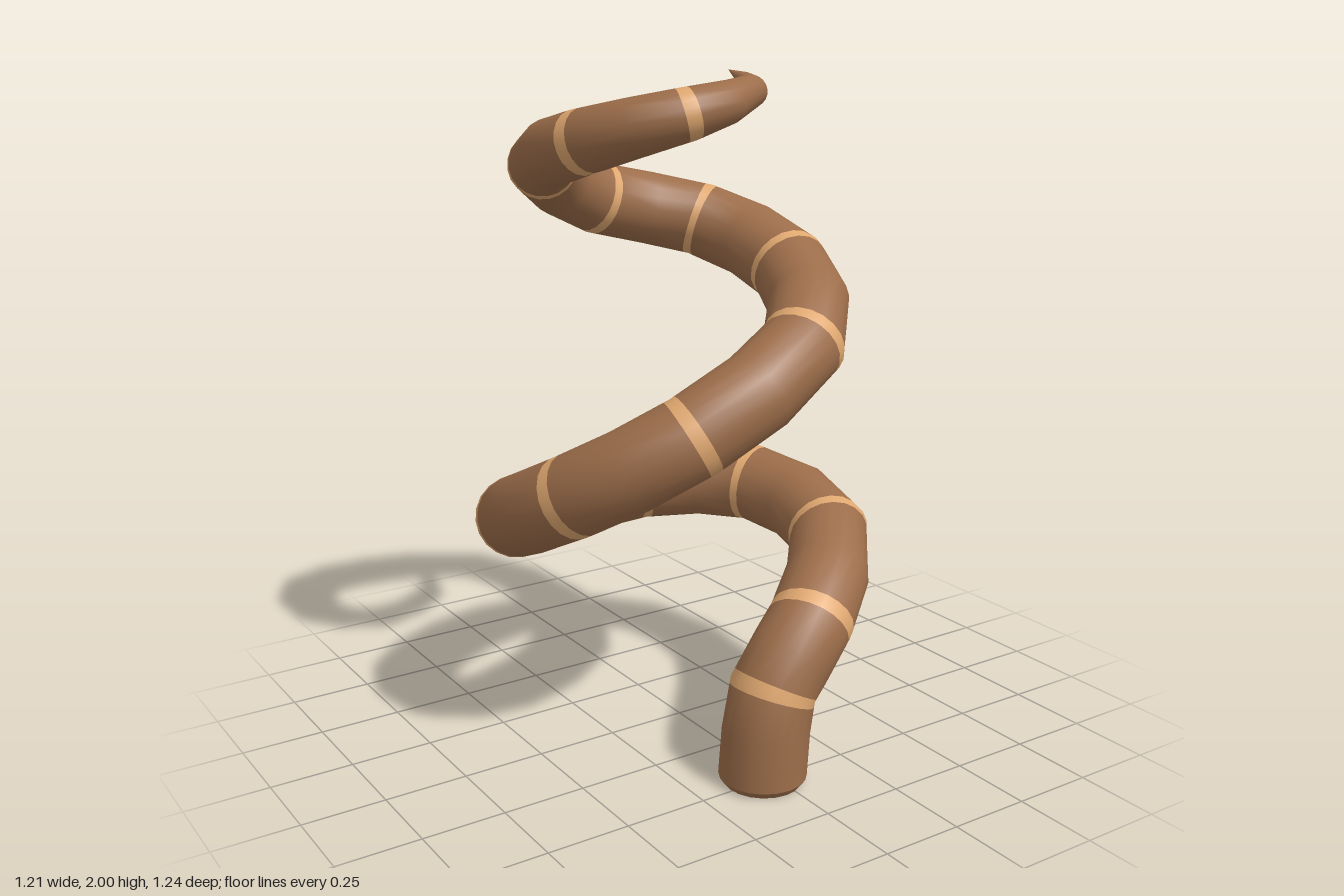
import * as THREE from 'three';

// Centre line and radius (x, y, z, r): one entry per light band, plus both ends
const STATIONS = [
  [-0.035, 0.02, 0.49, 0.129], [0.0, 0.275, 0.487, 0.127], [0.155, 0.44, 0.46, 0.126],
  [0.44, 0.58, 0.185, 0.125], [0.435, 0.64, -0.215, 0.125], [0.155, 0.628, -0.468, 0.125],
  [-0.2, 0.605, -0.458, 0.125], [-0.458, 0.69, -0.2, 0.124], [-0.46, 0.85, 0.155, 0.123],
  [-0.215, 1.04, 0.39, 0.122], [0.185, 1.245, 0.36, 0.122], [0.38, 1.405, 0.035, 0.121],
  [0.295, 1.52, -0.325, 0.116], [-0.035, 1.6, -0.42, 0.111], [-0.3, 1.73, -0.285, 0.102],
  [-0.35, 1.82, 0.05, 0.092], [-0.165, 1.9, 0.29, 0.073], [0.1, 1.95, 0.21, 0.046],
  [0.2, 1.998, -0.04, 0.001],
];
const SIDES = 20;
const PER = 2; // straight segments between stations
const BAND = 0.018; // half width of a band

// Cross-section rings along the coil, with a frame carried along without twist
function makeRings() {
  const curve = new THREE.CatmullRomCurve3(
    STATIONS.map(([x, y, z]) => new THREE.Vector3(x, y, z)), false, 'catmullrom', 0.5);
  const count = (STATIONS.length - 1) * PER;
  const normal = new THREE.Vector3(1, 0, 0);
  const rings = [];
  for (let i = 0; i <= count; i++) {
    const centre = curve.getPoint(i / count);
    const t = i === 0 ? new THREE.Vector3(0, 1, 0) : curve.getTangent(i / count);
    normal.addScaledVector(t, -normal.dot(t)).normalize();
    const side = new THREE.Vector3().crossVectors(t, normal);
    const s = Math.min(Math.floor(i / PER), STATIONS.length - 2);
    const r = THREE.MathUtils.lerp(STATIONS[s][3], STATIONS[s + 1][3], i / PER - s);
    const dirs = [];
    for (let j = 0; j <= SIDES; j++) {
      const a = (j / SIDES) * Math.PI * 2;
      dirs.push(normal.clone().multiplyScalar(Math.cos(a)).addScaledVector(side, Math.sin(a)));
    }
    rings.push({ centre, dirs, points: dirs.map((d) => centre.clone().addScaledVector(d, r)) });
  }
  return rings;
}

// Skin between consecutive positions u, where u is a fractional ring index
function strip(rings, us) {
  const pos = [], nor = [], idx = [];
  us.forEach((u, k) => {
    const i = Math.min(Math.floor(u), rings.length - 2);
    const a = rings[i], b = rings[i + 1], f = u - i;
    for (let j = 0; j <= SIDES; j++) {
      pos.push(...a.points[j].clone().lerp(b.points[j], f));
      nor.push(...a.dirs[j].clone().lerp(b.dirs[j], f).normalize());
      if (k > 0 && j < SIDES) {
        const q = k * (SIDES + 1) + j, p = q - SIDES - 1;
        idx.push(p, p + 1, q + 1, p, q + 1, q);
      }
    }
  });
  const geo = new THREE.BufferGeometry();
  geo.setAttribute('position', new THREE.Float32BufferAttribute(pos, 3));
  geo.setAttribute('normal', new THREE.Float32BufferAttribute(nor, 3));
  geo.setIndex(idx);
  return geo;
}

export function createModel() {
  const group = new THREE.Group();
  const skin = new THREE.MeshStandardMaterial({ color: 0x9c6d4a });
  const light = new THREE.MeshStandardMaterial({ color: 0xe0a870 });
  const add = (name, geo, mat) => {
    const mesh = new THREE.Mesh(geo, mat);
    mesh.name = name;
    group.add(mesh);
    return mesh;
  };

  const rings = makeRings();
  const last = rings.length - 1;
  const span = (i) => BAND / rings[i].centre.distanceTo(rings[i + 1].centre);

  // Coil sections alternating with light bands
  let start = 0;
  const section = (end) => {
    const us = [start];
    for (let i = Math.floor(start) + 1; i < end; i++) us.push(i);
    add('coilSection', strip(rings, [...us, end]), skin);
  };
  for (let s = 1; s <= STATIONS.length - 3; s++) {
    const i = s * PER;
    const from = i - span(i - 1), to = i + span(i);
    section(from);
    add('band', strip(rings, [from, i, to]), light);
    start = to;
  }
  section(last);

  // Bevelled foot closing the bottom
  const [x, y, z, r] = STATIONS[0];
  const foot = add('foot', new THREE.CylinderGeometry(r, r - 0.014, y, SIDES), skin);
  foot.position.set(x, y / 2, z);

  return group;
}
